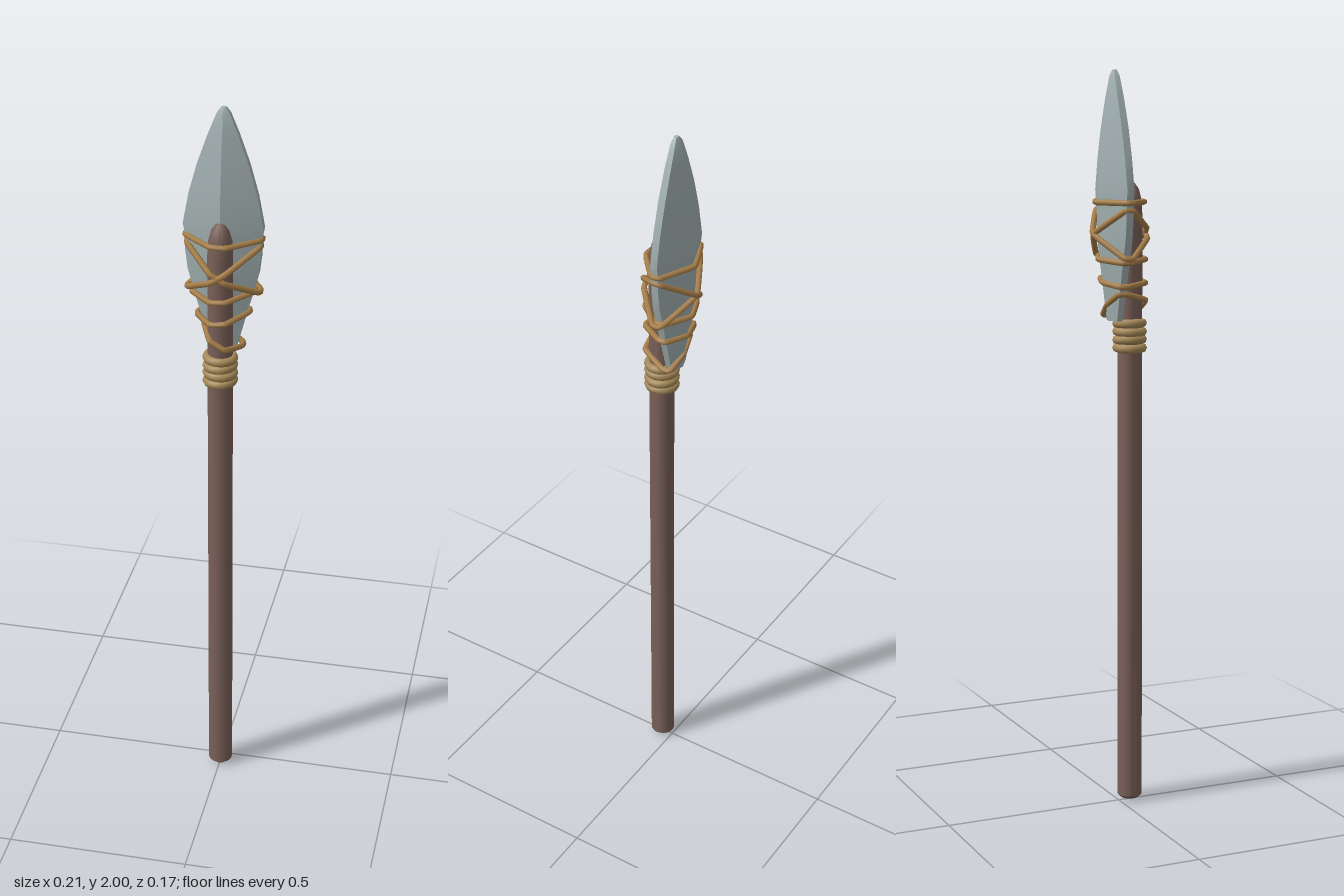
import * as THREE from 'three';
import { toCreasedNormals } from 'three/addons/utils/BufferGeometryUtils.js';

const material = (name, color) => {
  const m = new THREE.MeshStandardMaterial({ color });
  m.name = name;
  return m;
};

const SHAFT_Z = 0.033;
const BLADE_Z = -0.012;

// Blade: six-sided cross-sections [y, half width, half depth, half edge thickness]
function bladeGeometry() {
  const sections = [
    [1.34, 0.034, 0.02, 0.008], [1.42, 0.055, 0.029, 0.009], [1.5, 0.077, 0.041, 0.01],
    [1.56, 0.093, 0.046, 0.01], [1.61, 0.099, 0.048, 0.01], [1.66, 0.1, 0.049, 0.01],
    [1.685, 0.105, 0.05, 0.01], [1.77, 0.089, 0.045, 0.01], [1.85, 0.067, 0.036, 0.01],
    [1.93, 0.039, 0.023, 0.009], [1.985, 0.017, 0.013, 0.007], [2.0, 0.006, 0.006, 0.004],
  ];
  const pos = [], idx = [];
  for (const [y, w, t, e] of sections) {
    for (const [x, z] of [[0, t], [w, e], [w, -e], [0, -t], [-w, -e], [-w, e]]) pos.push(x, y, z + BLADE_Z);
  }
  const last = (sections.length - 1) * 6;
  for (let i = 0; i < last; i += 6) {
    for (let j = 0; j < 6; j++) {
      const k = (j + 1) % 6;
      idx.push(i + j, i + k, i + 6 + k, i + j, i + 6 + k, i + 6 + j);
    }
  }
  for (let j = 1; j < 5; j++) {
    idx.push(0, j + 1, j, last, last + j, last + j + 1);
  }
  const g = new THREE.BufferGeometry();
  g.setAttribute('position', new THREE.Float32BufferAttribute(pos, 3));
  g.setIndex(idx);
  return toCreasedNormals(g, 0.6);
}

// Taut cord loop around blade and shaft; tilt raises its +x side
function cordGeometry({ y, w, front, back, tilt = 0 }) {
  const outline = [
    [-0.02, front], [0.02, front], [w, 0], [w, -0.024],
    [0, back], [-w, -0.024], [-w, 0],
  ];
  const points = outline.map(([x, z]) => new THREE.Vector3(x, y + (tilt * x) / w, z));
  const curve = new THREE.CatmullRomCurve3(points, true, 'catmullrom', 0.12);
  return new THREE.TubeGeometry(curve, 56, 0.008, 6, true);
}

export function createModel() {
  const wood = material('dark wood', 0x795f58);
  const stone = material('grey stone', 0xa2b0b1);
  const cord = material('leather cord', 0xa8804a);
  const binding = material('rope binding', 0xa58958);
  const model = new THREE.Group();
  model.name = 'spear';

  const add = (name, geometry, mat, parent = model) => {
    const mesh = new THREE.Mesh(geometry, mat);
    mesh.name = name;
    parent.add(mesh);
    return mesh;
  };

  // Shaft with a shallow convex foot and a rounded top
  const profile = [
    [0, 0], [0.024, 0.007], [0.034, 0.016], [0.033, 1.62], [0.031, 1.66],
    [0.023, 1.69], [0.012, 1.705], [0, 1.71],
  ].map(([r, y]) => new THREE.Vector2(r, y));
  const shaft = add('shaft', toCreasedNormals(new THREE.LatheGeometry(profile, 14), 0.7), wood);
  shaft.position.z = SHAFT_Z;

  add('blade', bladeGeometry(), stone);

  // Stacked coils at the base of the blade
  const coils = new THREE.Group();
  coils.name = 'bindingCoils';
  model.add(coils);
  for (let i = 0; i < 4; i++) {
    const coil = add('coil', new THREE.TorusGeometry(0.035, 0.012, 8, 20), binding, coils);
    coil.position.set(0, 1.265 + i * 0.022, SHAFT_Z - 0.001);
    coil.rotation.set(Math.PI / 2, (i % 2 ? -1 : 1) * 0.04, 0);
  }

  // Cord lashing: level loops and two crossing loops
  const lashing = new THREE.Group();
  lashing.name = 'lashing';
  model.add(lashing);
  const loops = [
    { y: 1.655, w: 0.097, front: 0.066, back: -0.066 },
    { y: 1.572, w: 0.094, front: 0.075, back: -0.075, tilt: 0.062 },
    { y: 1.572, w: 0.094, front: 0.073, back: -0.073, tilt: -0.062 },
    { y: 1.504, w: 0.081, front: 0.07, back: -0.058, tilt: 0.006 },
    { y: 1.442, w: 0.067, front: 0.07, back: -0.046, tilt: 0.008 },
    { y: 1.382, w: 0.05, front: 0.07, back: -0.035, tilt: -0.03 },
  ];
  for (const loop of loops) add('cordLoop', cordGeometry(loop), cord, lashing);

  return model;
}
